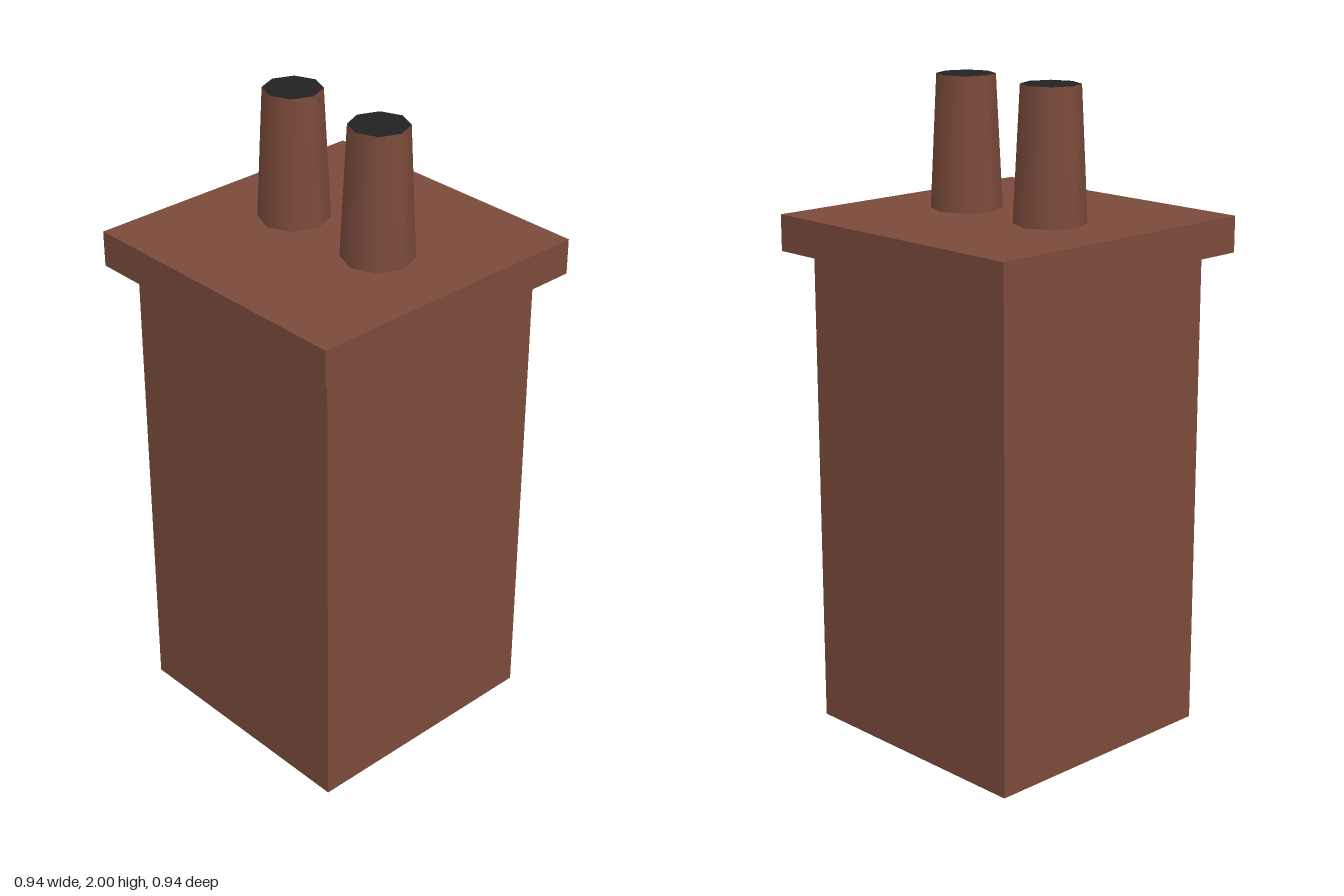
import * as THREE from 'three';

export function createModel() {
  const model = new THREE.Group();
  model.name = 'chimney';

  const brick = new THREE.MeshStandardMaterial({ color: 0x7a4a3a });
  brick.name = 'brick';
  const soot = new THREE.MeshStandardMaterial({ color: 0x222222 });
  soot.name = 'soot';

  // Square block standing from y = bottom to y = top
  function addBlock(name, width, bottom, top) {
    const mesh = new THREE.Mesh(new THREE.BoxGeometry(width, top - bottom, width), brick);
    mesh.name = name;
    mesh.position.y = (bottom + top) / 2;
    model.add(mesh);
  }
  addBlock('stack', 0.81, 0, 1.49);
  addBlock('capSlab', 0.945, 1.49, 1.6);

  // Tapered eight-sided pots: brick sides, sooty top, brick base
  const potGeometry = new THREE.CylinderGeometry(0.088, 0.108, 0.4, 8);
  for (const [name, side] of [['leftPot', 1], ['rightPot', -1]]) {
    const pot = new THREE.Mesh(potGeometry, [brick, soot, brick]);
    pot.name = name;
    pot.position.set(side * 0.176, 1.8, 0);
    model.add(pot);
  }

  return model;
}
